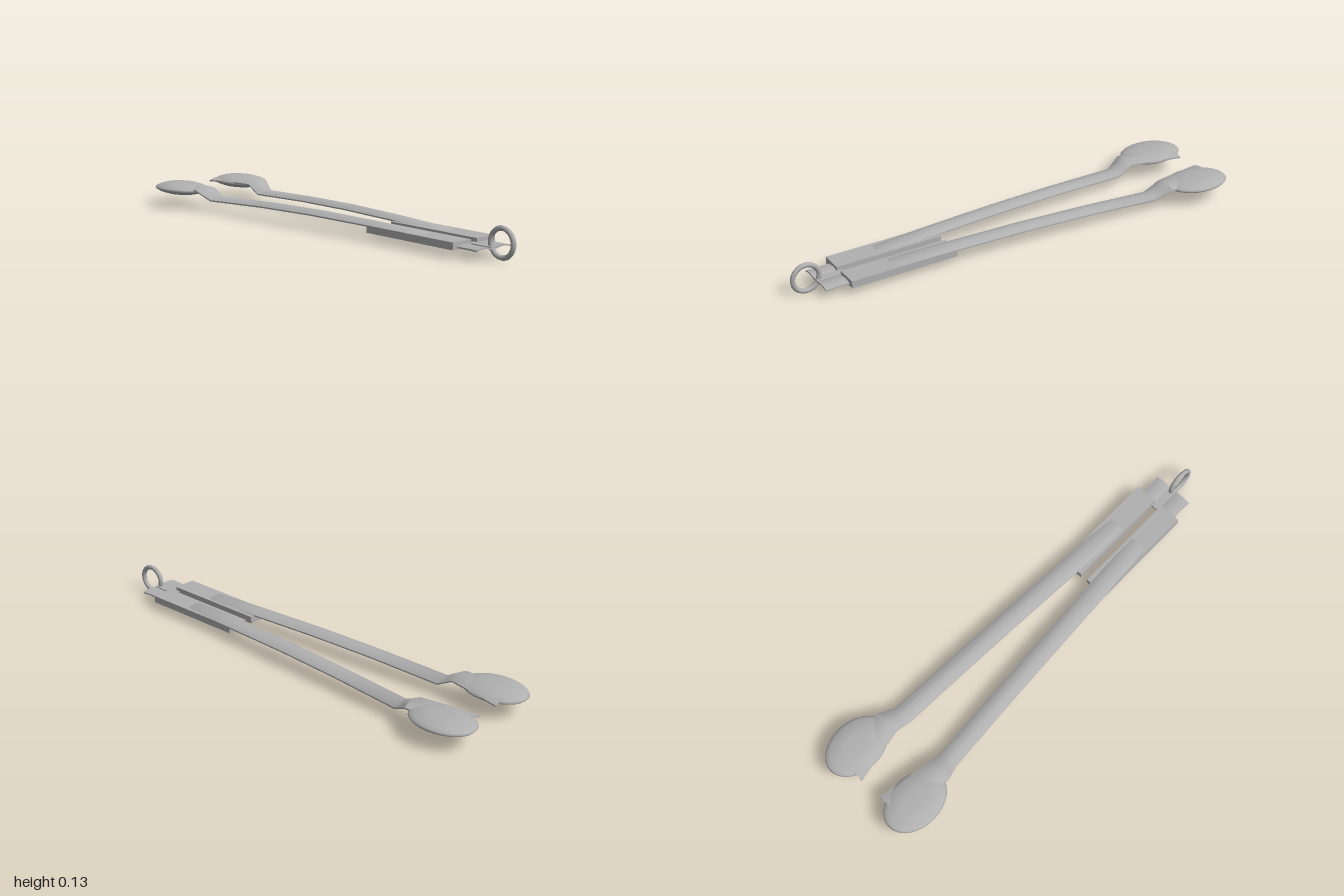
import * as THREE from 'three';
import { toCreasedNormals } from 'three/addons/utils/BufferGeometryUtils.js';

// Arched sheet metal lofted along x; each section is [x, zCentre, halfWidth, yTop, archDrop]
function archedStrip(sections, side, thickness = 0.006, steps = 10) {
  const pos = [], index = [];
  const n = 2 * (steps + 1);
  for (const [x, zc, hw, top, drop] of sections) {
    for (let i = 0; i < n; i++) {
      const upper = i <= steps;
      const t = ((upper ? i : n - 1 - i) / steps) * 2 - 1;
      pos.push(x, top - drop * t * t - (upper ? 0 : thickness), side * zc + hw * t);
    }
  }
  for (let s = 0; s < sections.length - 1; s++) {
    for (let i = 0; i < n; i++) {
      const a = s * n + i, b = s * n + (i + 1) % n;
      index.push(a, b, a + n, b, b + n, a + n);
    }
  }
  // End caps
  const last = (sections.length - 1) * n;
  for (let i = 0; i < steps; i++) {
    const a = i, b = i + 1, c = n - 2 - i, d = n - 1 - i;
    index.push(a, d, b, b, d, c);
    index.push(last + a, last + b, last + d, last + b, last + c, last + d);
  }
  const g = new THREE.BufferGeometry();
  g.setAttribute('position', new THREE.Float32BufferAttribute(pos, 3));
  g.setIndex(index);
  return toCreasedNormals(g, 0.6);
}

export function createModel() {
  const model = new THREE.Group();
  model.name = 'tongs';
  const steel = new THREE.MeshStandardMaterial({ color: 0xb0b0b0 });
  steel.name = 'brushed steel';

  const add = (parent, name, geometry, x = 0, y = 0, z = 0) => {
    const mesh = new THREE.Mesh(geometry, steel);
    mesh.name = name;
    mesh.position.set(x, y, z);
    parent.add(mesh);
    return mesh;
  };

  // Flap under the pad, neck, long bowed arm, tail behind the grip
  const armSections = [
    [-0.94, 0.12, 0.07, 0.096, 0.012],
    [-0.8, 0.135, 0.06, 0.1, 0.012],
    [-0.7, 0.147, 0.054, 0.104, 0.016],
    [-0.67, 0.141, 0.048, 0.088, 0.016],
    [-0.63, 0.133, 0.043, 0.067, 0.015],
    [-0.3, 0.114, 0.042, 0.078, 0.014],
    [0, 0.097, 0.042, 0.082, 0.014],
    [0.32, 0.079, 0.042, 0.077, 0.012],
    [0.59, 0.063, 0.042, 0.068, 0.008],
    [0.61, 0.062, 0.041, 0.056, 0.006],
    [0.79, 0.053, 0.036, 0.05, 0.006],
    [0.84, 0.053, 0.034, 0.05, 0.006],
    [0.89, 0.053, 0.038, 0.05, 0.006],
  ];

  // Lens-shaped gripping pad
  const padProfile = [
    [0, -0.026], [0.35, -0.025], [0.6, -0.022], [0.85, -0.013], [0.96, -0.006], [1, 0],
    [0.96, 0.006], [0.85, 0.013], [0.6, 0.022], [0.35, 0.025], [0, 0.026],
  ].map(([r, y]) => new THREE.Vector2(r, y));

  for (const side of [1, -1]) {
    const half = new THREE.Group();
    half.name = side > 0 ? 'frontHalf' : 'backHalf';
    model.add(half);
    add(half, 'arm', archedStrip(armSections, side));
    add(half, 'pad', new THREE.LatheGeometry(padProfile, 32), -0.855, 0.081, side * 0.166)
      .scale.set(0.145, 1, 0.105);
    add(half, 'grip', new THREE.BoxGeometry(0.47, 0.03, 0.098), 0.555, 0.048, side * 0.066);
  }

  // Bridge joining the two tails
  add(model, 'hingeTab', new THREE.BoxGeometry(0.12, 0.01, 0.036), 0.83, 0.043, 0);

  // Hanging ring
  add(model, 'hangingRing', new THREE.TorusGeometry(0.056, 0.0105, 8, 32), 0.93, 0.067, 0);

  return model;
}
